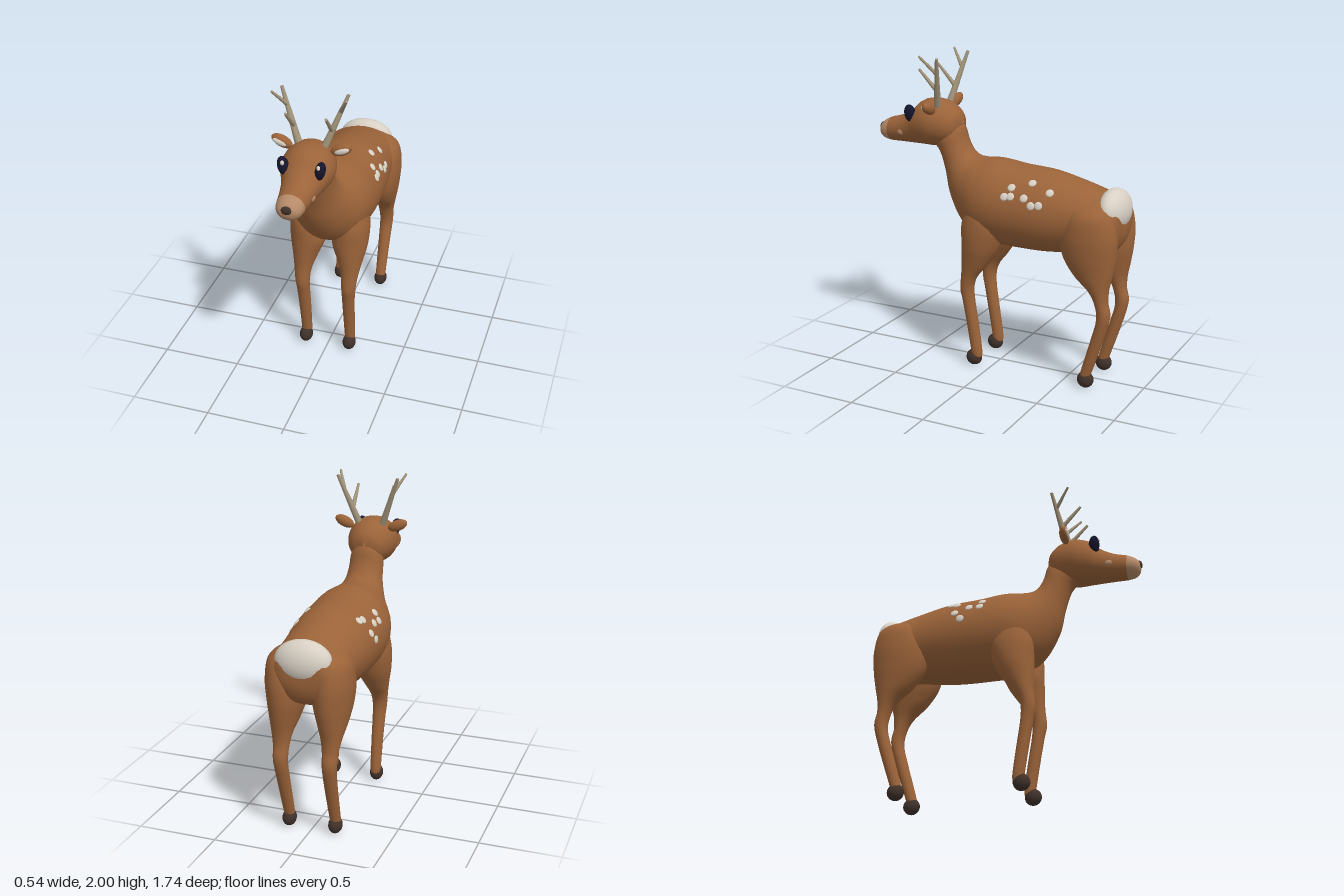
import * as THREE from 'three';

const mat = (name, color) => Object.assign(new THREE.MeshStandardMaterial({ color }), { name });

// Smooth skin through sections [zA, yA, zB, yB, halfWidth, centreX], where A and B are opposite
// points of an elliptical ring. From section `split` onward faces use the second material.
function loft(sections, { mirror = 1, split = Infinity, steps = 6, sides = 32 } = {}) {
  const pos = [], idx = [];
  const at = (i) => sections[Math.max(0, Math.min(sections.length - 1, i))];
  const rings = (sections.length - 1) * steps;
  for (let r = 0; r <= rings; r++) {
    const i = Math.min(Math.floor(r / steps), sections.length - 2), t = r / steps - i;
    const [za, ya, zb, yb, w, cx] = [0, 1, 2, 3, 4, 5].map((k) => {
      const [a, b, c, d] = [-1, 0, 1, 2].map((o) => at(i + o)[k] ?? 0);
      return b + 0.5 * t * (c - a + t * (2 * a - 5 * b + 4 * c - d + t * (3 * (b - c) + d - a)));
    });
    for (let j = 0; j < sides; j++) {
      const a = (j / sides) * Math.PI * 2, c = Math.cos(a) / 2;
      pos.push(mirror * cx + Math.sin(a) * Math.max(w, 0.001), (ya + yb) / 2 + c * (ya - yb), (za + zb) / 2 + c * (za - zb));
    }
  }
  for (let r = 0; r < rings; r++) {
    for (let j = 0; j < sides; j++) {
      const k = (j + 1) % sides, a = r * sides + j, b = r * sides + k;
      idx.push(a, a + sides, b, b, a + sides, b + sides);
    }
  }
  const g = new THREE.BufferGeometry();
  g.setAttribute('position', new THREE.Float32BufferAttribute(pos, 3));
  g.setIndex(idx);
  g.computeVertexNormals();
  if (split < Infinity) {
    const cut = split * steps * sides * 6;
    g.addGroup(0, cut, 0);
    g.addGroup(cut, idx.length - cut, 1);
  }
  return g;
}

export function createModel() {
  const model = new THREE.Group();
  model.name = 'deer';
  const fur = mat('brown fur', 0x9b6339);
  const cream = mat('cream fur', 0xd8d0c4);
  const tan = mat('tan muzzle', 0xb58a68);
  const dark = mat('dark hoof', 0x40312a);
  const navy = mat('eye navy', 0x15152c);
  const horn = mat('antler', 0xa39479);

  const add = (name, geometry, material, parent = model) => {
    const m = new THREE.Mesh(geometry, material);
    m.name = name;
    parent.add(m);
    return m;
  };
  const blob = (name, material, p, s, rot = [0, 0, 0]) => {
    const m = add(name, new THREE.SphereGeometry(1, 24, 16), material);
    m.position.set(...p);
    m.scale.set(...s);
    m.rotation.set(...rot);
    return m;
  };

  // Torso and neck in one skin, rump to throat
  const torso = add('torsoAndNeck', loft([
    [-0.85, 1.11, -0.85, 1.07, 0.01],
    [-0.84, 1.18, -0.845, 0.97, 0.13],
    [-0.79, 1.215, -0.8, 0.88, 0.2],
    [-0.7, 1.235, -0.7, 0.84, 0.235],
    [-0.55, 1.28, -0.55, 0.83, 0.238],
    [-0.35, 1.325, -0.35, 0.81, 0.26],
    [-0.15, 1.34, -0.15, 0.81, 0.27],
    [0, 1.36, 0, 0.815, 0.265],
    [0.1, 1.355, 0.12, 0.84, 0.24],
    [0.17, 1.365, 0.24, 0.93, 0.185],
    [0.21, 1.4, 0.33, 1.08, 0.14],
    [0.24, 1.46, 0.372, 1.24, 0.115],
    [0.26, 1.53, 0.42, 1.37, 0.108],
    [0.3, 1.6, 0.5, 1.43, 0.09],
  ]), fur);

  // Head with a tan muzzle
  add('head', loft([
    [0.267, 1.57, 0.27, 1.54, 0.01],
    [0.29, 1.63, 0.3, 1.45, 0.09],
    [0.36, 1.685, 0.36, 1.415, 0.138],
    [0.46, 1.705, 0.45, 1.4, 0.16],
    [0.55, 1.682, 0.53, 1.4, 0.145],
    [0.62, 1.62, 0.62, 1.4, 0.115],
    [0.7, 1.578, 0.7, 1.4, 0.097],
    [0.79, 1.553, 0.78, 1.4, 0.085],
    [0.835, 1.53, 0.83, 1.41, 0.072],
    [0.86, 1.505, 0.857, 1.435, 0.045],
    [0.868, 1.485, 0.868, 1.47, 0.001],
  ], { split: 7 }), [fur, tan]);
  blob('nose', dark, [0, 1.488, 0.858], [0.032, 0.026, 0.018]);

  // Rump patch
  blob('rumpPatch', cream, [0, 1.13, -0.775], [0.178, 0.128, 0.09], [0.15, 0, 0]);

  const frontLeg = [
    [0.08, 1.16, 0, 1.16, 0.01, 0.14],
    [0.15, 1.08, -0.05, 1.08, 0.075, 0.15],
    [0.19, 0.96, -0.09, 0.96, 0.108, 0.148],
    [0.195, 0.84, -0.05, 0.81, 0.115, 0.138],
    [0.195, 0.73, 0.025, 0.69, 0.082, 0.148],
    [0.195, 0.63, 0.088, 0.61, 0.058, 0.155],
    [0.205, 0.52, 0.113, 0.54, 0.047, 0.155],
    [0.19, 0.44, 0.11, 0.44, 0.042, 0.152],
    [0.162, 0.28, 0.085, 0.28, 0.038, 0.15],
    [0.133, 0.1, 0.06, 0.1, 0.034, 0.15],
    [0.13, 0.05, 0.07, 0.05, 0.03, 0.15],
  ];
  const hindLeg = [
    [-0.64, 1.21, -0.72, 1.21, 0.01, 0.11],
    [-0.54, 1.13, -0.81, 1.13, 0.09, 0.15],
    [-0.49, 1.0, -0.847, 1.0, 0.118, 0.15],
    [-0.5, 0.86, -0.845, 0.87, 0.115, 0.145],
    [-0.575, 0.74, -0.828, 0.76, 0.09, 0.15],
    [-0.675, 0.65, -0.808, 0.66, 0.064, 0.155],
    [-0.72, 0.57, -0.805, 0.58, 0.05, 0.155],
    [-0.735, 0.47, -0.82, 0.49, 0.045, 0.155],
    [-0.703, 0.34, -0.783, 0.34, 0.04, 0.152],
    [-0.635, 0.1, -0.705, 0.1, 0.034, 0.15],
    [-0.63, 0.05, -0.69, 0.05, 0.03, 0.15],
  ];

  // Tapered antler piece between two points
  const tine = (name, a, b, r0, r1) => {
    const from = new THREE.Vector3(...a), dir = new THREE.Vector3(...b).sub(from);
    const m = add(name, new THREE.CylinderGeometry(r1, r0, dir.length(), 10), horn);
    m.position.copy(from).addScaledVector(dir, 0.5);
    m.quaternion.setFromUnitVectors(new THREE.Vector3(0, 1, 0), dir.normalize());
  };

  for (const s of [1, -1]) {
    const side = s > 0 ? 'left' : 'right';
    // Legs and hooves
    add(side + 'FrontLeg', loft(frontLeg, { mirror: s }), fur);
    add(side + 'HindLeg', loft(hindLeg, { mirror: s }), fur);
    for (const z of [0.115, -0.667]) blob(side + 'Hoof', dark, [s * 0.15, 0.055, z], [0.043, 0.052, 0.053]);

    // Eyes and cheek spots
    blob(side + 'Eye', navy, [s * 0.11, 1.61, 0.588], [0.03, 0.061, 0.037], [0.2, s * 0.5, -s * 0.3]);
    blob(side + 'EyeGlint', cream, [s * 0.108, 1.642, 0.613], [0.012, 0.015, 0.012]);
    blob(side + 'CheekSpot', tan, [s * 0.094, 1.48, 0.67], [0.012, 0.02, 0.027]);

    // Ears
    blob(side + 'Ear', fur, [s * 0.18, 1.668, 0.41], [0.068, 0.036, 0.03], [0, 0, s * 0.4]);
    blob(side + 'InnerEar', cream, [s * 0.187, 1.668, 0.429], [0.047, 0.02, 0.016], [0, 0, s * 0.35]);

    // Antlers
    tine(side + 'AntlerBeam', [s * 0.08, 1.67, 0.405], [s * 0.2, 1.985, 0.337], 0.023, 0.01);
    tine(side + 'AntlerLowTine', [s * 0.115, 1.77, 0.385], [s * 0.12, 1.9, 0.51], 0.015, 0.008);
    tine(side + 'AntlerHighTine', [s * 0.162, 1.885, 0.36], [s * 0.222, 1.997, 0.45], 0.013, 0.007);
  }

  // Flank spots [side, z, y], laid on the skin
  torso.updateMatrixWorld();
  const ray = new THREE.Raycaster();
  const spots = [
    [1, -0.18, 1.24], [1, -0.147, 1.187], [1, -0.187, 1.192], [1, -0.3, 1.272], [1, -0.275, 1.19],
    [1, -0.327, 1.152], [1, -0.375, 1.157], [1, -0.425, 1.23],
    [-1, -0.33, 1.255], [-1, -0.29, 1.25], [-1, -0.29, 1.17], [-1, -0.25, 1.12], [-1, -0.2, 1.205],
    [-1, -0.12, 1.245], [-1, -0.13, 1.2],
  ];
  for (const [s, z, y] of spots) {
    ray.set(new THREE.Vector3(s, y, z), new THREE.Vector3(-s, 0, 0));
    const hit = ray.intersectObject(torso)[0];
    if (!hit) continue;
    const m = blob('flankSpot', cream, hit.point.toArray(), [0.025, 0.025, 0.009]);
    m.quaternion.setFromUnitVectors(new THREE.Vector3(0, 0, 1), hit.face.normal);
  }
  return model;
}
